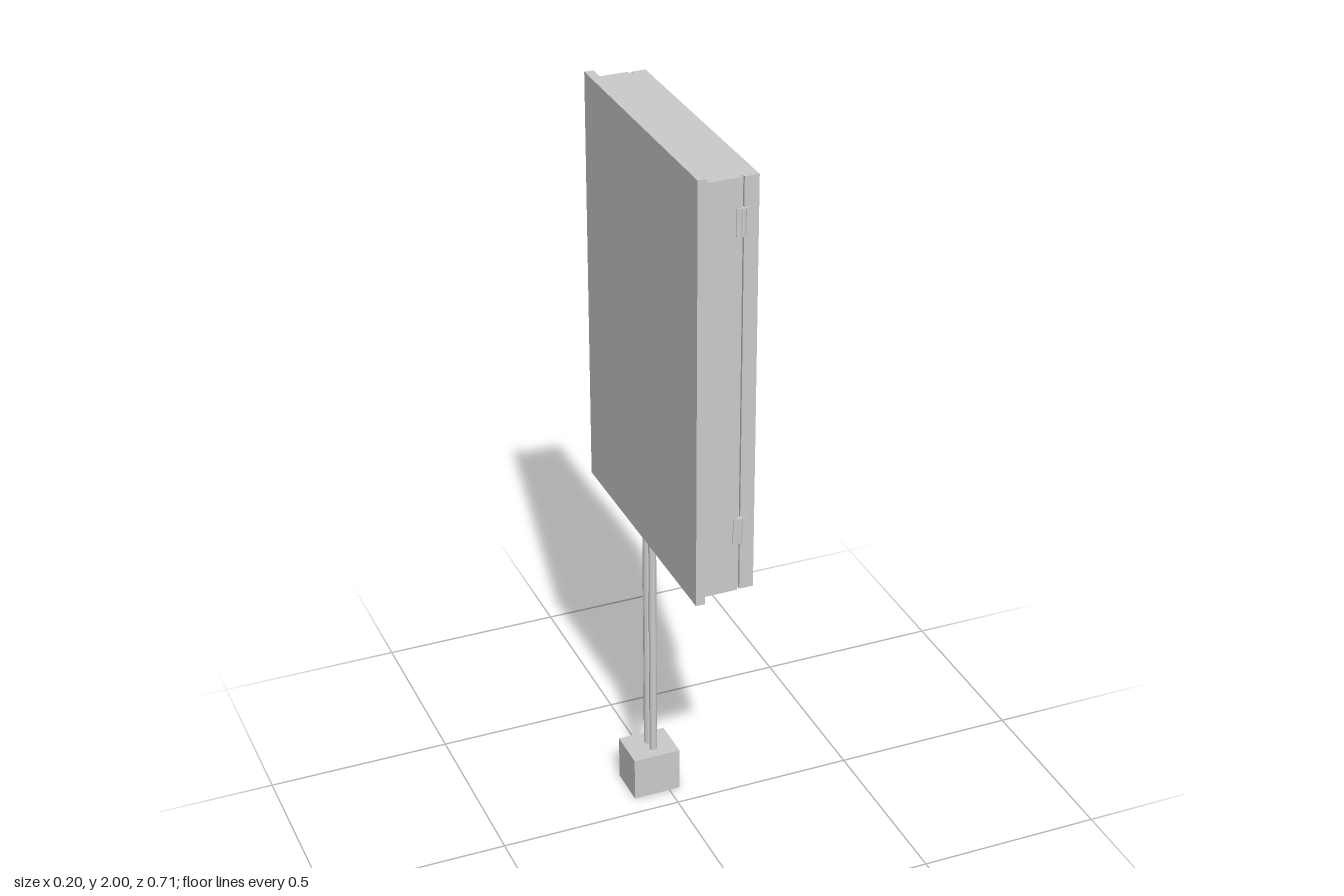
import * as THREE from 'three';

const material = new THREE.MeshStandardMaterial({ color: 0xcccccc, flatShading: true });

function add(parent, name, geometry) {
  const mesh = new THREE.Mesh(geometry, material);
  mesh.name = name;
  parent.add(mesh);
  return mesh;
}

// Box given by its extents on each axis
function box(parent, name, [x0, x1], [y0, y1], [z0, z1]) {
  const mesh = add(parent, name, new THREE.BoxGeometry(x1 - x0, y1 - y0, z1 - z0));
  mesh.position.set((x0 + x1) / 2, (y0 + y1) / 2, (z0 + z1) / 2);
  return mesh;
}

function rectangle(target, [y0, y1], [z0, z1]) {
  target.moveTo(-z1, y0);
  target.lineTo(-z0, y0);
  target.lineTo(-z0, y1);
  target.lineTo(-z1, y1);
  target.closePath();
  return target;
}

// Rectangular slab facing +x with a rectangular opening
function slabWithOpening(parent, name, [x0, x1], y, z, holeY, holeZ) {
  const shape = rectangle(new THREE.Shape(), y, z);
  shape.holes.push(rectangle(new THREE.Path(), holeY, holeZ));
  const geometry = new THREE.ExtrudeGeometry(shape, { depth: x1 - x0, bevelEnabled: false });
  geometry.rotateY(Math.PI / 2).translate(x0, 0, 0);
  return add(parent, name, geometry);
}

// Raised panel lofted through rectangles: [x, yMin, yMax, zMin, zMax]
function raisedPanel(sections) {
  const rings = sections.map(([x, y0, y1, z0, z1]) =>
    [[x, y0, z1], [x, y0, z0], [x, y1, z0], [x, y1, z1]]);
  const points = [];
  const quad = (a, b, c, d) => points.push(...a, ...b, ...c, ...a, ...c, ...d);
  for (let s = 0; s < rings.length - 1; s++) {
    for (let i = 0; i < 4; i++) {
      const j = (i + 1) % 4;
      quad(rings[s][i], rings[s][j], rings[s + 1][j], rings[s + 1][i]);
    }
  }
  quad(...rings[rings.length - 1]);
  const geometry = new THREE.BufferGeometry();
  geometry.setAttribute('position', new THREE.Float32BufferAttribute(points, 3));
  geometry.computeVertexNormals();
  return geometry;
}

export function createModel() {
  const model = new THREE.Group();
  model.name = 'electricalCabinet';

  // Cabinet: wall plate, body, and narrower core forming the door gap
  box(model, 'backPlate', [-0.1, -0.076], [0.87, 2], [-0.356, 0.354]);
  box(model, 'cabinetBody', [-0.076, 0.013], [0.885, 1.986], [-0.347, 0.345]);
  box(model, 'doorGapCore', [0.013, 0.02], [0.885, 1.986], [-0.337, 0.335]);

  // Door with handle recess and embossed panel
  const recessY = [1.383, 1.582], recessZ = [-0.288, -0.222];
  slabWithOpening(model, 'door', [0.02, 0.057], [0.885, 1.986], [-0.345, 0.343], recessY, recessZ);
  add(model, 'raisedPanel', raisedPanel([
    [0.056, 1.02, 1.853, -0.17, 0.243],
    [0.08, 1.055, 1.815, -0.153, 0.227],
    [0.1, 1.105, 1.762, -0.125, 0.2],
  ]));

  // Handle: frame around the recess, pivoting lever and lock
  const handle = new THREE.Group();
  handle.name = 'doorHandle';
  model.add(handle);
  slabWithOpening(handle, 'handleFrame', [0.055, 0.062], [1.37, 1.595], [-0.297, -0.212], recessY, recessZ);
  const leverShape = new THREE.Shape([
    [0.02, 1.47], [0.038, 1.44], [0.05, 1.392], [0.056, 1.394], [0.046, 1.45], [0.028, 1.5], [0.02, 1.51],
  ].map(([x, y]) => new THREE.Vector2(x, y)));
  const lever = add(handle, 'handleLever', new THREE.ExtrudeGeometry(leverShape, { depth: 0.042, bevelEnabled: false }));
  lever.position.z = -0.276;
  const lock = add(handle, 'lockCylinder', new THREE.CylinderGeometry(0.012, 0.012, 0.012, 12));
  lock.rotation.z = Math.PI / 2;
  lock.position.set(0.025, 1.545, -0.255);

  // Hinges bridging the gap on the left edge
  for (const y of [1.055, 1.875]) {
    const hinge = new THREE.Group();
    hinge.name = 'hinge';
    model.add(hinge);
    box(hinge, 'hingeLeaf', [0, 0.034], [y - 0.035, y + 0.035], [0.335, 0.348]);
    const knuckle = add(hinge, 'hingeKnuckle', new THREE.CylinderGeometry(0.008, 0.008, 0.07, 12));
    knuckle.position.set(0.017, y, 0.344);
  }

  // Two conduits running down to the junction box
  for (const [z, radius] of [[-0.098, 0.0105], [-0.132, 0.013]]) {
    const conduit = add(model, 'conduit', new THREE.CylinderGeometry(radius, radius, 0.77, 12));
    conduit.position.set(-0.032, 0.505, z);
  }

  // Junction box with cover and screws
  box(model, 'junctionBox', [-0.102, 0.026], [0, 0.125], [-0.175, -0.06]);
  box(model, 'junctionCover', [0.026, 0.03], [0.001, 0.124], [-0.174, -0.061]);
  for (const y of [0.02, 0.105]) {
    for (const z of [-0.16, -0.075]) {
      const screw = add(model, 'coverScrew', new THREE.CylinderGeometry(0.005, 0.005, 0.004, 8));
      screw.rotation.z = Math.PI / 2;
      screw.position.set(0.031, y, z);
    }
  }

  return model;
}
